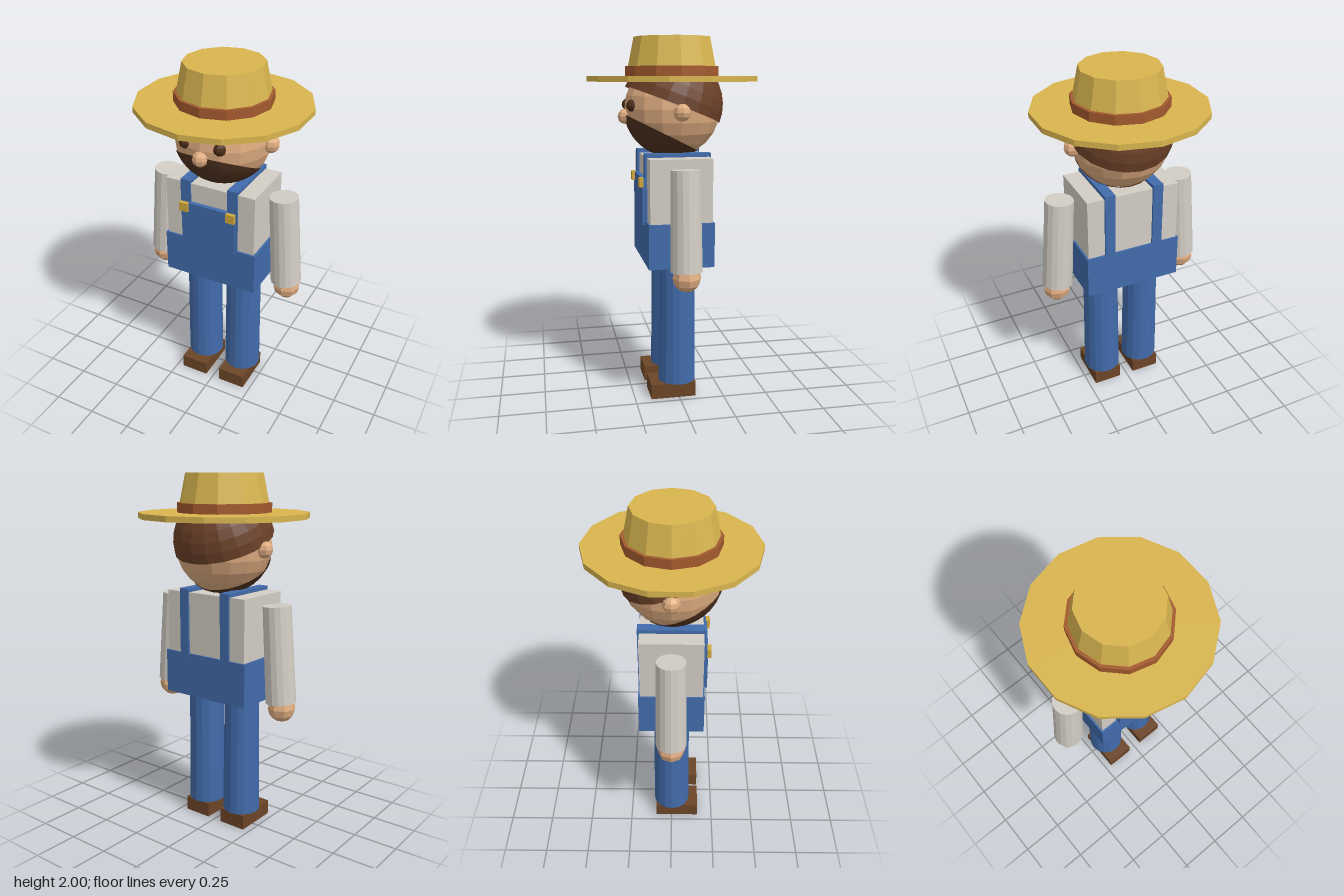
import * as THREE from 'three';

const mat = (name, color) => {
  const m = new THREE.MeshStandardMaterial({ color, flatShading: true });
  m.name = name;
  return m;
};

export function createModel() {
  const straw = mat('straw', 0xd9b54f);
  const bandBrown = mat('hat band brown', 0xa35a2e);
  const skin = mat('skin', 0xdfac80);
  const hairBrown = mat('hair brown', 0x6b4028);
  const beardBrown = mat('beard brown', 0x4e311e);
  const eyeBrown = mat('eye brown', 0x4a2a18);
  const shirtGrey = mat('shirt grey', 0xd2cdc4);
  const denim = mat('denim', 0x416bab);
  const brass = mat('brass', 0xd0a83c);
  const leather = mat('shoe leather', 0x6b4527);
  hairBrown.side = beardBrown.side = THREE.DoubleSide;

  const model = new THREE.Group();
  model.name = 'farmer';

  const add = (name, geometry, material, x, y, z) => {
    const mesh = new THREE.Mesh(geometry, material);
    mesh.name = name;
    mesh.position.set(x, y, z);
    model.add(mesh);
    return mesh;
  };
  // Box given by its extents
  const box = (name, material, x0, x1, y0, y1, z0, z1) =>
    add(name, new THREE.BoxGeometry(x1 - x0, y1 - y0, z1 - z0), material,
      (x0 + x1) / 2, (y0 + y1) / 2, (z0 + z1) / 2);
  // Upright round part between two heights
  const drum = (name, material, rTop, rBottom, y0, y1, sides, x = 0) =>
    add(name, new THREE.CylinderGeometry(rTop, rBottom, y1 - y0, sides), material, x, (y0 + y1) / 2, 0);
  const ball = (name, material, r, x, y, z, w = 8, h = 6) =>
    add(name, new THREE.SphereGeometry(r, w, h), material, x, y, z);

  // Torso and overalls
  box('shirt', shirtGrey, -0.265, 0.265, 0.79, 1.365, -0.17, 0.17);
  box('overallsWaist', denim, -0.275, 0.275, 0.775, 1.02, -0.18, 0.18);
  box('bib', denim, -0.16, 0.16, 1.0, 1.255, 0.165, 0.195);

  // Hat
  drum('hatBrim', straw, 0.467, 0.467, 1.764, 1.794, 14);
  drum('hatCrown', straw, 0.212, 0.255, 1.79, 2.0, 12);
  drum('hatBand', bandBrown, 0.26, 0.26, 1.79, 1.845, 12);

  // Head with tilted hair cap and beard cap
  ball('head', skin, 0.266, 0, 1.62, 0, 16, 12);
  const hair = add('hair', new THREE.SphereGeometry(0.279, 20, 8, 0, Math.PI * 2, 0, Math.PI / 2),
    hairBrown, 0, 1.638, 0);
  hair.rotation.x = -0.37;
  const beard = add('beard', new THREE.SphereGeometry(0.271, 24, 8, 0, Math.PI * 2, 0, 0.99),
    beardBrown, 0, 1.62, 0);
  beard.rotation.x = Math.PI - 0.464;
  ball('nose', skin, 0.042, 0, 1.577, 0.262);

  for (const s of [-1, 1]) {
    const side = s > 0 ? 'left' : 'right';
    ball(side + 'Eye', eyeBrown, 0.034, s * 0.097, 1.638, 0.235);
    ball(side + 'Ear', skin, 0.047, s * 0.268, 1.608, 0);

    // Strap over the shoulder with its buckle
    box(side + 'Strap', denim, s * 0.14 - 0.029, s * 0.14 + 0.029, 1.0, 1.385, -0.181, 0.181);
    box(side + 'Buckle', brass, s * 0.14 - 0.025, s * 0.14 + 0.025, 1.207, 1.258, 0.19, 0.212);

    // Sleeve leaning outward, and hand
    const sleeve = add(side + 'Sleeve', new THREE.CylinderGeometry(0.078, 0.085, 0.53, 16),
      shirtGrey, s * 0.373, 1.056, 0);
    sleeve.rotation.z = s * 0.07;
    ball(side + 'Hand', skin, 0.077, s * 0.397, 0.76, 0);

    // Leg and shoe
    drum(side + 'Leg', denim, 0.099, 0.107, 0.085, 0.8, 16, s * 0.128);
    box(side + 'Shoe', leather, s * 0.128 - 0.083, s * 0.128 + 0.083, 0, 0.085, -0.095, 0.16);
  }

  return model;
}
